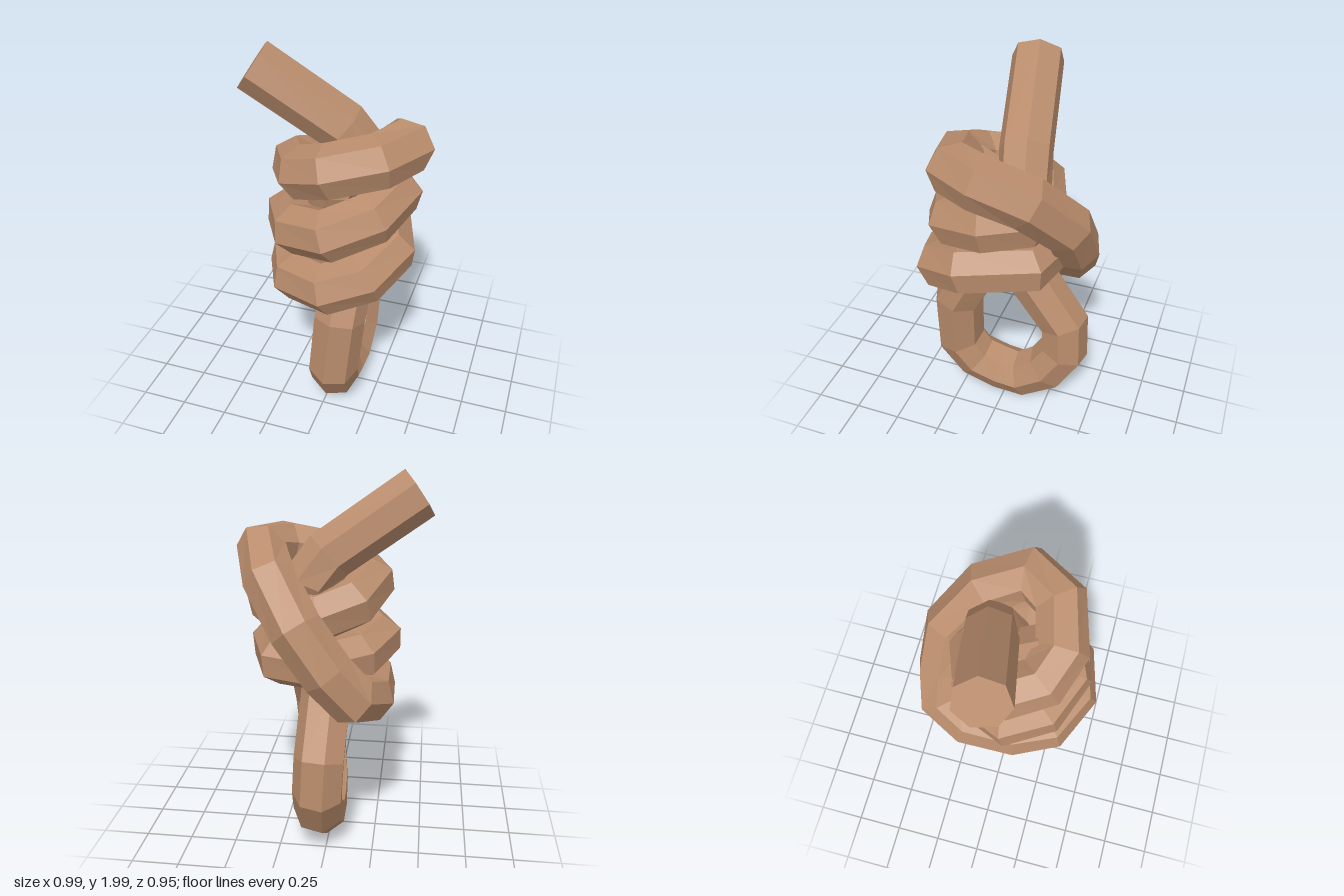
import * as THREE from 'three';

const SIDES = 7;
const RADIUS = 0.135;

// Faceted rope: one ring of vertices at every path point
function ropeGeometry(path, closed) {
  const points = path.map(p => new THREE.Vector3(...p));
  const curve = new THREE.CatmullRomCurve3(points, closed, 'centripetal');
  curve.getPointAt = (u, target) => curve.getPoint(u, target);
  curve.getTangentAt = (u, target) => curve.getTangent(u, target);
  const segments = closed ? points.length : points.length - 1;
  return new THREE.TubeGeometry(curve, segments, RADIUS, SIDES, closed);
}

// Flat fan closing the first ring of a rope
function capGeometry(rope) {
  const ring = rope.attributes.position.array.slice(0, SIDES * 3);
  const geometry = new THREE.BufferGeometry();
  geometry.setAttribute('position', new THREE.BufferAttribute(ring, 3));
  const index = [];
  for (let i = 1; i < SIDES - 1; i++) index.push(0, i, i + 1);
  geometry.setIndex(index);
  geometry.computeVertexNormals();
  return geometry;
}

export function createModel() {
  const model = new THREE.Group();
  model.name = 'ropeKnot';
  const rope = new THREE.MeshStandardMaterial({ color: 0xb98c6c });
  rope.name = 'rope tan';
  rope.flatShading = true;

  function add(name, geometry) {
    const mesh = new THREE.Mesh(geometry, rope);
    mesh.name = name;
    model.add(mesh);
  }

  // Free end, down through the core, round the eye and back up into the top turn
  const strand = ropeGeometry([
    [-0.425, 1.885, 0], [0, 1.59, -0.085], [0.085, 1.48, -0.11],
    [0.1, 1.3, -0.02], [0.09, 1.08, 0.05],
    [0.11, 0.87, 0.16], [0.1, 0.67, 0.26], [0.07, 0.34, 0.27],
    [0.05, 0.2, 0.18], [0.04, 0.145, 0.04], [0.04, 0.135, -0.09],
    [0.04, 0.24, -0.24], [0.03, 0.39, -0.33], [0.02, 0.58, -0.32],
    [0.01, 0.84, -0.13], [0, 1.05, 0], [0, 1.25, 0.04],
    [0.03, 1.4, 0.09], [0.05, 1.47, 0.2],
  ], false);
  add('tailAndEye', strand);
  add('tailEnd', capGeometry(strand));

  // Three rising turns, then the strand crossing down over the back
  add('wraps', ropeGeometry([
    // bottom turn
    [-0.205, 0.875, 0.08], [-0.13, 0.88, 0.25], [0.06, 0.91, 0.34],
    [0.23, 0.975, 0.285], [0.32, 1.05, 0.12], [0.23, 1.07, -0.18],
    [0.03, 1.06, -0.22], [-0.15, 1.08, -0.11],
    // middle turn
    [-0.235, 1.12, 0.05], [-0.14, 1.14, 0.21], [0.05, 1.19, 0.29],
    [0.24, 1.27, 0.2], [0.31, 1.32, 0.02], [0.2, 1.31, -0.14],
    [0.04, 1.3, -0.18], [-0.12, 1.36, -0.12],
    // top turn
    [-0.19, 1.42, 0.05], [-0.11, 1.45, 0.19], [0.04, 1.51, 0.245],
    [0.26, 1.565, 0.18], [0.355, 1.58, 0.02],
    // crossing strand
    [0.28, 1.48, -0.18], [0.13, 1.28, -0.335], [-0.02, 1.07, -0.345],
    [-0.14, 0.93, -0.32], [-0.21, 0.875, -0.16],
  ], true));

  return model;
}
